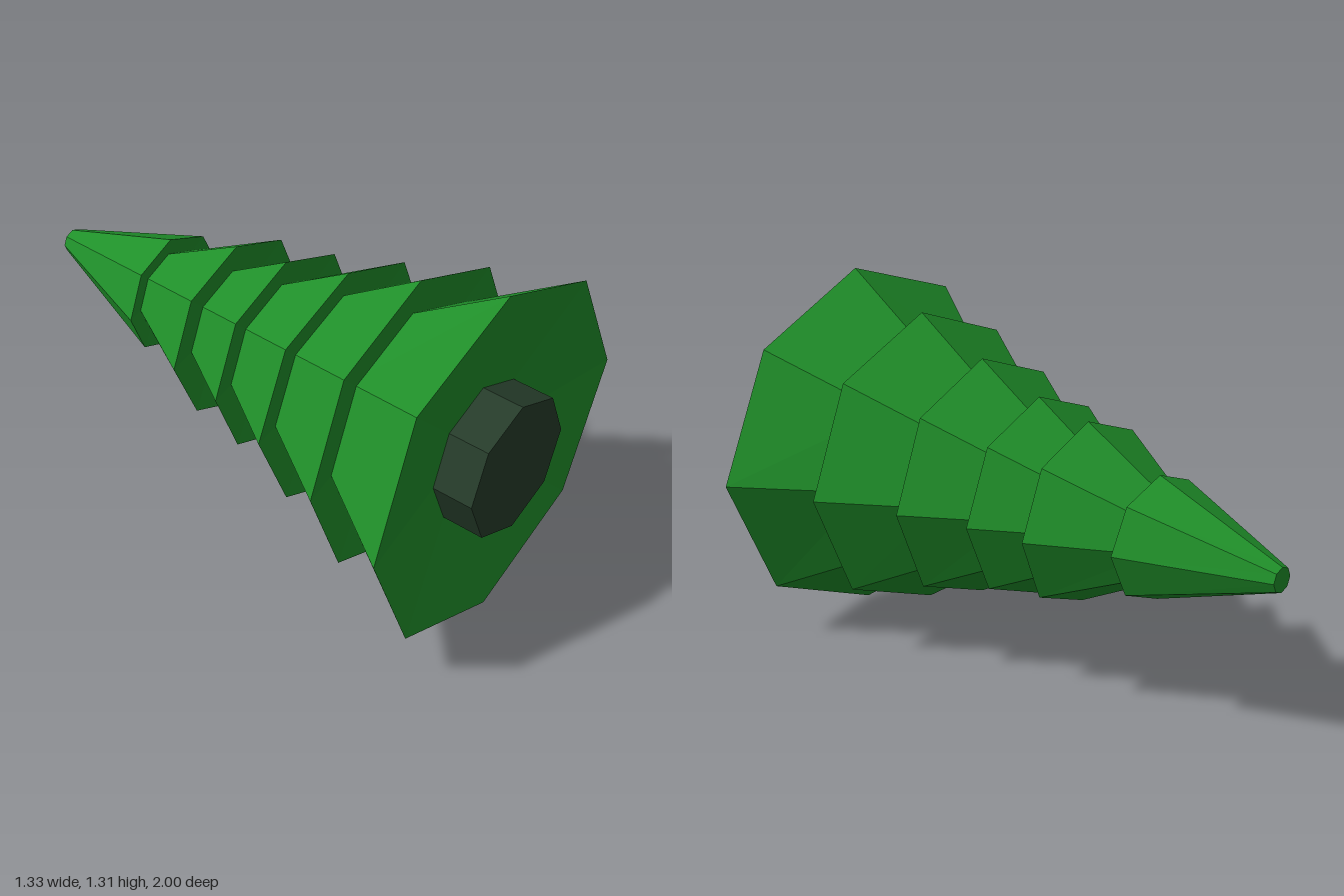
import * as THREE from 'three';

const SIDES = 8;
const AXIS_Y = 0.662;

// Bough tiers, base to tip: z and radius of the rim and of the narrow end.
// skew shifts the rim corners along z at top, +x, bottom and -x.
const TIERS = [
  { rim: [0.92, 0.66], end: [0.585, 0.43], skew: [0, -0.005, -0.005, 0.01],
    radii: [0.65, 0.643, 0.665, 0.649, 0.661, 0.659, 0.665, 0.667] },
  { rim: [0.585, 0.553], end: [0.295, 0.36], skew: [0, 0, -0.01, 0.005] },
  { rim: [0.295, 0.447], end: [0.03, 0.28], skew: [0, -0.01, 0.01, -0.01] },
  { rim: [0.03, 0.37], end: [-0.19, 0.235], skew: [0, 0, 0, 0] },
  { rim: [-0.19, 0.335], end: [-0.49, 0.17], skew: [0, 0, 0.02, 0] },
  { rim: [-0.5, 0.225], end: [-1, 0.045], skew: [0, 0.02, 0, 0.005] },
];

// One skirt-like cone with a hollowed underside, its axis turned to -z
function tierGeometry({ rim, end, skew, radii }, isTip) {
  let [endZ, endR] = end;
  if (!isTip) {
    // run on into the hollow of the next tier
    const slope = (rim[1] - endR) / (rim[0] - endZ);
    endZ -= 0.07;
    endR -= 0.07 * slope;
  }
  const profile = [
    new THREE.Vector2(0, -rim[0] + rim[1] * 0.18),
    new THREE.Vector2(rim[1], -rim[0]),
    new THREE.Vector2(endR, -endZ),
    new THREE.Vector2(0, -endZ),
  ];
  const geo = new THREE.LatheGeometry(profile, SIDES);
  const pos = geo.attributes.position;
  for (let i = 0; i <= SIDES; i++) {
    const corner = i % SIDES;
    const v = i * profile.length + 1;
    const a = Math.floor(corner / 2);
    const b = Math.ceil(corner / 2) % 4;
    const r = radii ? radii[corner] : rim[1];
    const angle = (corner / SIDES) * Math.PI * 2;
    pos.setXYZ(v, r * Math.sin(angle), -rim[0] - (skew[a] + skew[b]) / 2, r * Math.cos(angle));
  }
  geo.rotateX(-Math.PI / 2);
  return geo;
}

export function createModel() {
  const tree = new THREE.Group();
  tree.name = 'lyingFirTree';
  const green = new THREE.MeshStandardMaterial({ color: 0x20902a, flatShading: true });
  const bark = new THREE.MeshStandardMaterial({ color: 0x263c2a, flatShading: true });

  // Boughs
  TIERS.forEach((tier, i) => {
    const mesh = new THREE.Mesh(tierGeometry(tier, i === TIERS.length - 1), green);
    mesh.name = `boughTier${i + 1}`;
    mesh.position.y = AXIS_Y;
    tree.add(mesh);
  });

  // Trunk stub
  const trunkGeo = new THREE.CylinderGeometry(0.253, 0.253, 0.25, SIDES);
  trunkGeo.rotateX(-Math.PI / 2);
  const trunk = new THREE.Mesh(trunkGeo, bark);
  trunk.name = 'trunk';
  trunk.position.set(0, AXIS_Y, 0.875);
  tree.add(trunk);

  return tree;
}
